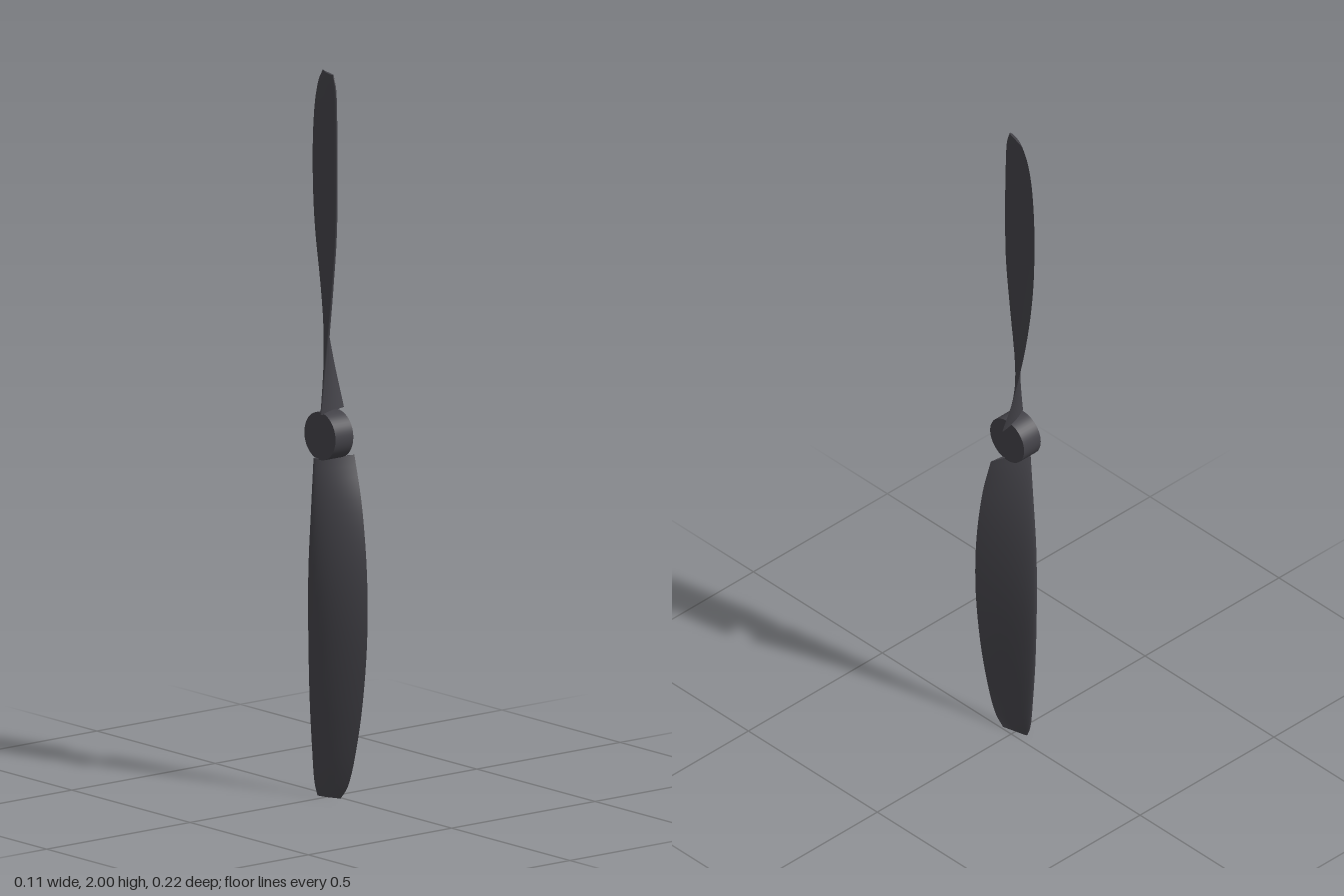
import * as THREE from 'three';

const SIDE = 14;      // points along each face of the aerofoil
const STATIONS = 32;  // sections along the blade

// Leading and trailing edges of the upper blade, root to tip
const rows = [
  // y, lead x, lead z, trail x, trail z
  [1.062, -0.057, 0.015, 0.055, -0.022],
  [1.20, -0.053, 0.03, 0.049, -0.062],
  [1.38, -0.047, 0.049, 0.038, -0.096],
  [1.56, -0.039, 0.059, 0.026, -0.111],
  [1.74, -0.035, 0.058, 0.014, -0.105],
  [1.88, -0.031, 0.052, 0.004, -0.086],
  [1.96, -0.029, 0.046, -0.001, -0.064],
  [2.0, -0.028, 0.034, -0.006, -0.038],
];

// Closed cambered aerofoil: trailing edge, over the convex face, back along the other
function aerofoil() {
  const pts = [];
  for (let i = 0; i <= 2 * SIDE; i++) {
    const a = (Math.PI * i) / SIDE;
    const s = 0.5 + 0.5 * Math.cos(a);
    const half = 0.5 * (0.2969 * Math.sqrt(s) - 0.126 * s - 0.3516 * s ** 2 + 0.2843 * s ** 3 - 0.1036 * s ** 4);
    const camber = 0.12 * s * (1 - s);
    pts.push([s, camber + (i <= SIDE ? 1 : -1) * half]);
  }
  return pts;
}

function bladeGeometry() {
  const edge = (c) => new THREE.CatmullRomCurve3(
    rows.map((r) => new THREE.Vector3(r[c], r[0], r[c + 1])), false, 'catmullrom', 0.5);
  const lead = edge(1), trail = edge(3);
  const section = aerofoil(), n = section.length;
  const pos = [], index = [];

  for (let j = 0; j <= STATIONS; j++) {
    const l = lead.getPoint(j / STATIONS), t = trail.getPoint(j / STATIONS);
    const dx = t.x - l.x, dz = t.z - l.z;
    for (const [s, h] of section) pos.push(l.x + dx * s + dz * h, l.y, l.z + dz * s - dx * h);
  }
  for (let j = 0; j < STATIONS; j++) {
    for (let i = 0; i < n - 1; i++) {
      const a = j * n + i, b = a + 1, c = b + n, d = a + n;
      index.push(a, b, c, a, c, d);
    }
  }

  // Flat caps at root and tip with their own vertices
  for (const j of [0, STATIONS]) {
    const base = pos.length / 3;
    pos.push(...pos.slice(j * n * 3, (j + 1) * n * 3));
    for (let i = 0; i < SIDE; i++) {
      const a = base + i, b = base + i + 1, c = base + n - 2 - i, d = base + n - 1 - i;
      if (j) index.push(a, b, c, a, c, d);
      else index.push(a, c, b, a, d, c);
    }
  }

  const geo = new THREE.BufferGeometry();
  geo.setAttribute('position', new THREE.Float32BufferAttribute(pos, 3));
  geo.setIndex(index);
  geo.computeVertexNormals();
  return geo;
}

export function createModel() {
  const model = new THREE.Group();
  model.name = 'propeller';
  const charcoal = new THREE.MeshStandardMaterial({ color: 0x434248 });
  charcoal.name = 'charcoal';

  // Hub with its axis along x
  const hub = new THREE.Mesh(new THREE.CylinderGeometry(0.066, 0.066, 0.062, 48), charcoal);
  hub.name = 'hub';
  hub.rotation.z = Math.PI / 2;
  hub.position.set(-0.016, 1, 0);
  model.add(hub);

  // Two blades, half a turn apart about the hub axis
  const geo = bladeGeometry();
  ['upperBlade', 'lowerBlade'].forEach((name, k) => {
    const blade = new THREE.Mesh(geo, charcoal);
    blade.name = name;
    blade.rotation.x = k * Math.PI;
    blade.position.y = 2 * k;
    model.add(blade);
  });
  return model;
}
